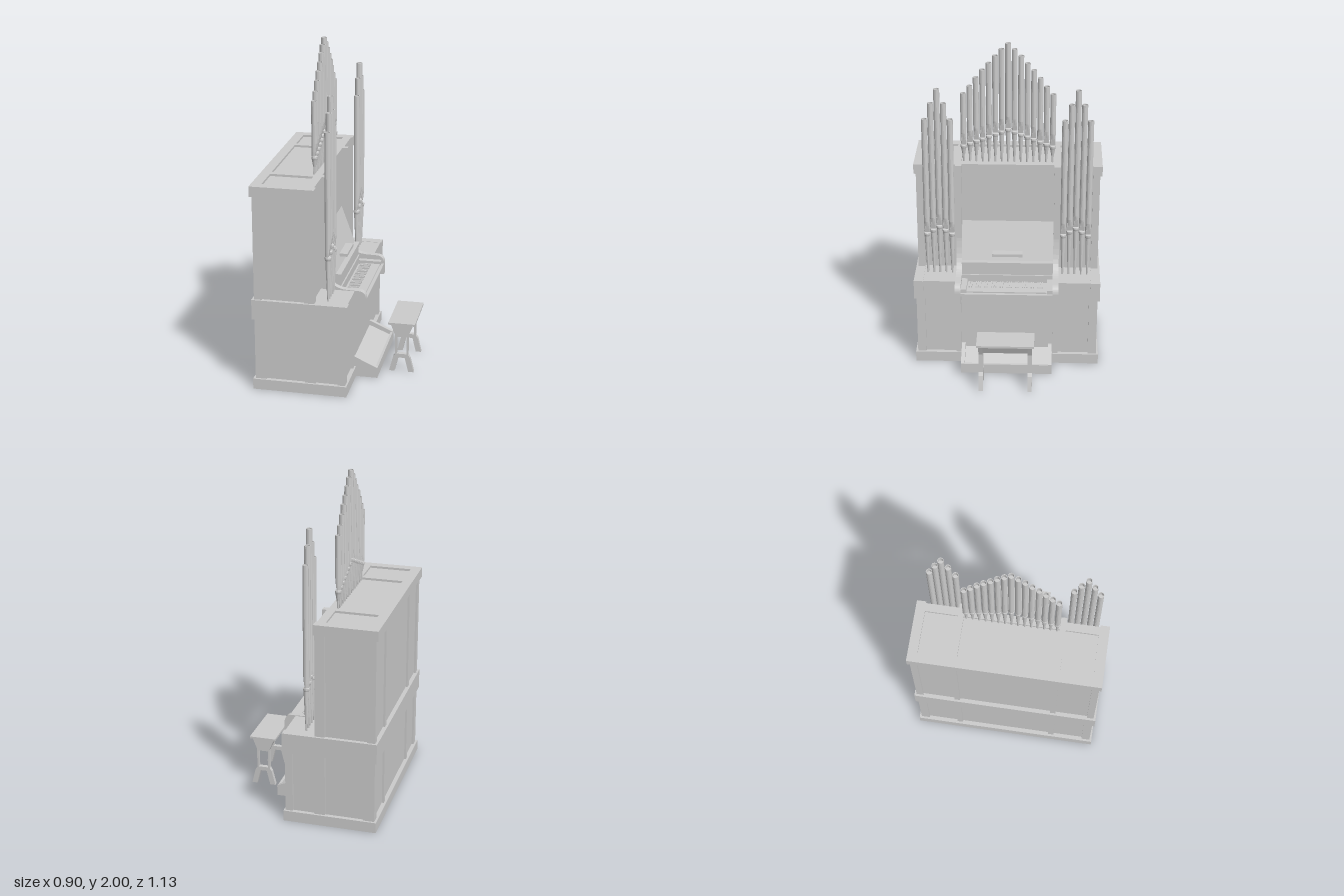
import * as THREE from 'three';

const grey = new THREE.MeshStandardMaterial({ color: 0xcccccc, side: THREE.DoubleSide });

export function createModel() {
  const model = new THREE.Group();
  model.name = 'pipeOrgan';
  // Built facing local +z, then turned so the keyboard looks along +x.
  const organ = new THREE.Group();
  organ.name = 'organ';
  organ.rotation.y = Math.PI / 2;
  model.add(organ);

  const add = (name, geo) => {
    const m = new THREE.Mesh(geo, grey);
    m.name = name;
    organ.add(m);
    return m;
  };
  // Box from its limits
  const box = (name, x0, x1, y0, y1, z0, z1) =>
    add(name, new THREE.BoxGeometry(x1 - x0, y1 - y0, z1 - z0)
      .translate((x0 + x1) / 2, (y0 + y1) / 2, (z0 + z1) / 2));
  // The same box on both sides
  const pair = (name, x0, x1, ...rest) => {
    box(name, x0, x1, ...rest);
    box(name, -x1, -x0, ...rest);
  };
  const shapeOf = (pts) => new THREE.Shape(pts.map(([a, b]) => new THREE.Vector2(a, b)));
  // Side profile in (z, y), extruded across x
  const profile = (name, shape, x0, x1) =>
    add(name, new THREE.ExtrudeGeometry(shape, { depth: x1 - x0, bevelEnabled: false, curveSegments: 10 })
      .rotateY(-Math.PI / 2).translate(x1, 0, 0));
  const profilePair = (name, shape, x0, x1) => {
    profile(name, shape, x0, x1);
    profile(name, shape, -x1, -x0);
  };

  // Lower case: plinth, core, posts and belt
  box('plinth', -0.565, 0.565, 0, 0.065, -0.45, 0.11);
  box('lowerCase', -0.54, 0.54, 0.06, 0.5, -0.425, 0.085);
  box('belt', -0.56, 0.56, 0.445, 0.565, -0.45, 0.02);
  pair('beltWing', 0.28, 0.56, 0.445, 0.565, 0, 0.108);
  pair('beltCorner', 0.508, 0.565, 0.445, 0.567, -0.45, 0.115);
  for (const [z0, z1] of [[-0.437, -0.372], [-0.14, -0.075], [0.055, 0.1]])
    pair('lowerSidePost', 0.5, 0.552, 0.06, 0.45, z0, z1);
  pair('lowerFrontPost', 0.28, 0.315, 0.06, 0.5, 0.05, 0.1);

  // Upper case
  box('upperCase', -0.54, 0.54, 0.56, 1.2, -0.425, -0.095);
  for (const [z0, z1] of [[-0.437, -0.39], [-0.14, -0.08]])
    pair('upperSidePost', 0.51, 0.552, 0.56, 1.2, z0, z1);
  pair('upperFrontPost', 0.28, 0.312, 0.56, 1.2, -0.14, -0.072);

  // Back posts on both storeys
  for (const [y0, y1] of [[0.06, 0.45], [0.56, 1.2]]) pair('backPost', 0.28, 0.315, y0, y1, -0.437, -0.4);

  // Top cap: stepped front edge and three sunk panels
  const front = [[0.565, -0.075], [0.51, -0.075], [0.51, -0.085], [0.315, -0.085],
    [0.315, -0.058], [0.277, -0.058], [0.277, -0.09]];
  const outline = [[-0.565, -0.45], [0.565, -0.45], ...front,
    ...front.map(([x, z]) => [-x, z]).reverse()];
  const slab = (name, holes, y0, y1) => {
    const s = shapeOf(outline.map(([x, z]) => [x, -z]));
    for (const [x0, x1] of holes)
      s.holes.push(new THREE.Path([[x0, 0.135], [x0, 0.39], [x1, 0.39], [x1, 0.135]].map(([a, b]) => new THREE.Vector2(a, b))));
    add(name, new THREE.ExtrudeGeometry(s, { depth: y1 - y0, bevelEnabled: false })
      .rotateX(-Math.PI / 2).translate(0, y0, 0));
  };
  slab('cap', [], 1.195, 1.243);
  slab('capFrame', [[-0.508, -0.315], [-0.28, 0.28], [0.315, 0.508]], 1.243, 1.256);

  // Sloping board, ledge, fallboard and music rest
  profile('slopingBoard', shapeOf([[-0.095, 0.88], [-0.012, 0.65], [-0.012, 0.63], [-0.095, 0.63]]), -0.278, 0.278);
  box('ledge', -0.278, 0.278, 0.638, 0.65, -0.06, 0.02);
  box('fallboard', -0.278, 0.278, 0.5, 0.64, -0.06, 0.012);
  box('musicRest', -0.092, 0.092, 0.69, 0.708, -0.03, 0.018);

  // Keyboard cheeks sweeping up to the upper posts
  const cheek = new THREE.Shape();
  cheek.moveTo(-0.09, 0.445);
  cheek.lineTo(0.176, 0.445);
  cheek.lineTo(0.176, 0.52);
  cheek.quadraticCurveTo(0.174, 0.566, 0.13, 0.568);
  cheek.lineTo(0.06, 0.57);
  cheek.bezierCurveTo(-0.03, 0.575, -0.06, 0.62, -0.075, 0.8);
  cheek.lineTo(-0.09, 0.8);
  profilePair('cheek', cheek, 0.277, 0.313);

  // Keybed and keys
  box('keybed', -0.278, 0.278, 0.5, 0.516, 0, 0.176);
  pair('keyBlock', 0.243, 0.278, 0.51, 0.54, 0.01, 0.16);
  box('whiteKeys', -0.242, 0.242, 0.512, 0.524, 0.035, 0.156);
  const whites = 36, pitch = 0.484 / whites;
  for (let i = 1; i < whites; i++)
    if (![0, 3].includes(i % 7)) {
      const x = -0.242 + i * pitch;
      box('blackKey', x - 0.0035, x + 0.0035, 0.52, 0.532, 0.037, 0.104);
    }

  // Pedal box: wedge sides, low front, sloping floor
  const side = shapeOf([[0.09, 0], [0.24, 0], [0.24, 0.065], [0.1, 0.127], [0.09, 0.127]]);
  profilePair('pedalSide', side, 0.255, 0.278);
  profile('pedalFloor', shapeOf([[0.09, 0], [0.24, 0], [0.24, 0.062], [0.225, 0.062], [0.222, 0.045], [0.09, 0.1]]), -0.256, 0.256);

  // Pipe: lathed foot, collar and body, with the mouth pressed flat at the front
  const pipe = (x, z, y0, mouth, top, r) => {
    const pts = [[0, y0], [0.005, y0], [0.008, y0 + 0.06], [r * 0.9, mouth - 0.02], [r * 1.08, mouth - 0.01],
      [r * 1.08, mouth], [r * 0.95, mouth + 0.004], [r, mouth + 0.03], [r, mouth + 0.08], [r, top], [r * 0.8, top], [r * 0.8, top - 0.03], [0, top - 0.03]];
    const geo = new THREE.LatheGeometry(pts.map(([a, b]) => new THREE.Vector2(a, b)), 14).toNonIndexed();
    const p = geo.attributes.position;
    for (let i = 0; i < p.count; i++) {
      const up = (p.getY(i) - mouth) / 0.08;
      if (up > 0.01 && up < 0.9) p.setZ(i, Math.min(p.getZ(i), r * (0.25 + 0.75 * up)));
    }
    geo.computeVertexNormals();
    add('pipe', geo.translate(x, 0, z));
  };
  const tops = [2.0, 1.965, 1.925, 1.88, 1.838, 1.79, 1.737, 1.69];
  for (let i = -7; i <= 7; i++) {
    const k = Math.abs(i);
    pipe(i * 0.0379, -0.138, 1.24, 1.47 - k * 0.0155, tops[k], 0.0175);
  }
  for (const s of [-1, 1])
    for (let i = -2; i <= 2; i++) {
      const k = Math.abs(i);
      pipe(s * (0.411 + i * 0.0375), -0.012, 0.56, 0.885 - k * 0.025, [1.762, 1.675, 1.575][k], 0.018);
    }

  // Bench: seat, slanted aprons, cut-out end frames with splayed feet
  box('benchSeat', -0.172, 0.172, 0.306, 0.319, 0.285, 0.447);
  const c = 0.366;
  for (const s of [-1, 1])
    profile('benchApron', shapeOf([[c + s * 0.068, 0.306], [c + s * 0.058, 0.306], [c + s * 0.034, 0.25], [c + s * 0.044, 0.25]]), -0.16, 0.16);
  const half = [[0.068, 0.306], [0.04, 0.235], [0.04, 0.112], [0.052, 0.092], [0.075, 0], [0.042, 0], [0.02, 0.09]];
  const end = shapeOf([...half.map(([z, y]) => [c + z, y]), ...half.map(([z, y]) => [c - z, y]).reverse()]);
  end.holes.push(new THREE.Path([[-0.03, 0.115], [-0.03, 0.225], [0.03, 0.225], [0.03, 0.115]]
    .map(([z, y]) => new THREE.Vector2(c + z, y))));
  profilePair('benchEnd', end, 0.134, 0.16);

  return model;
}
